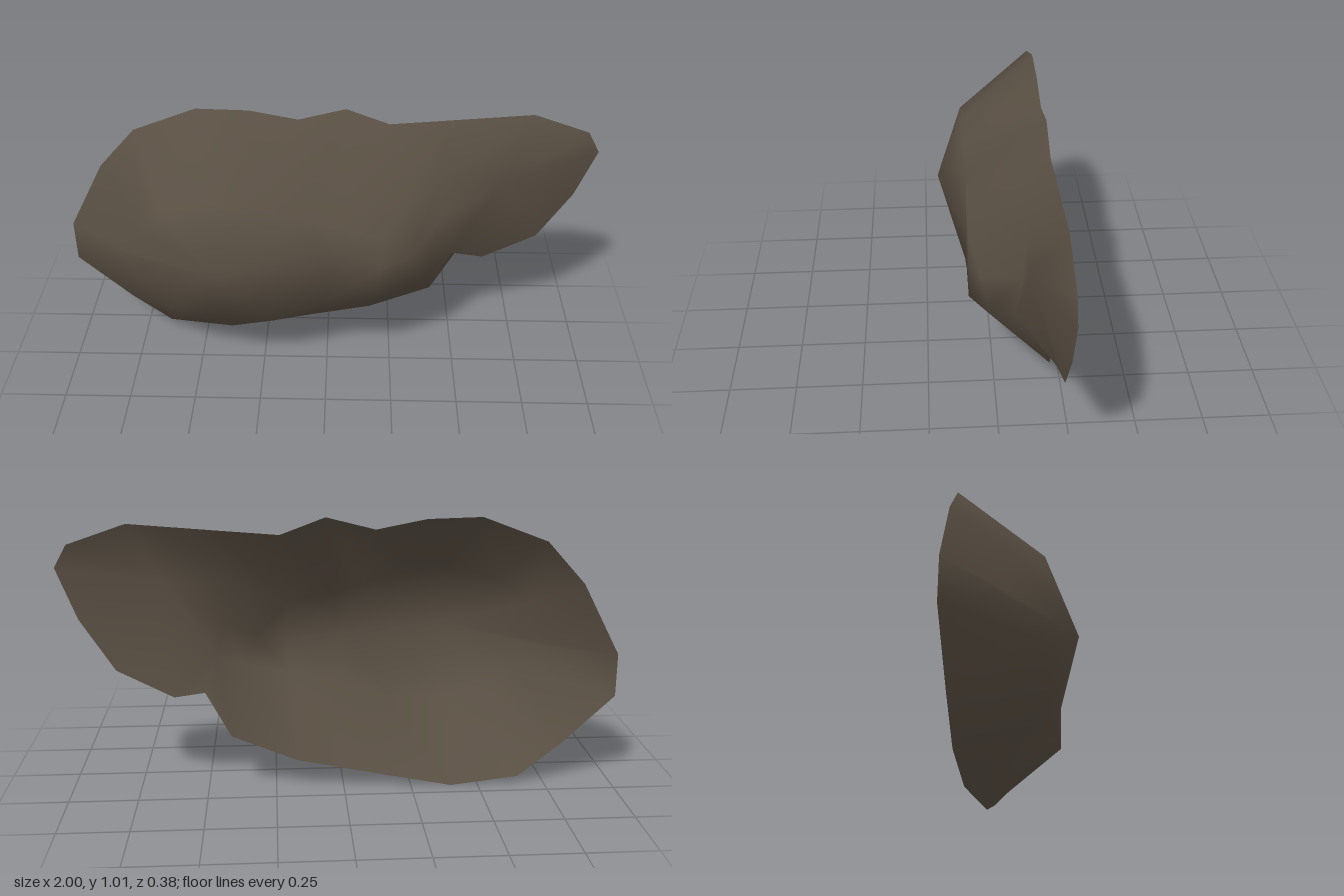
import * as THREE from 'three';
import { mergeVertices } from 'three/addons/utils/BufferGeometryUtils.js';

const BACK = -0.19;

// Spine points: main peak, middle lobe, its right-hand wall and the valley before the small lobe
const peak = [-0.4, 0.53, 0.19];
const middle = [0, 0.52, 0.09];
const ledge = [0.2, 0.5, 0.09];
const wall = [0.31, 0.53, 0.05];
const valley = [0.42, 0.6, -0.085];

// Shoulder points of the small lobe and the middle lobe
const crest = [0.645, 0.775, -0.085];
const notch = [0.465, 0.48, -0.06];
const brow = [0.2, 0.64, 0.09];

// Sections clockwise round the rock: back rim (x, y), shoulder, spine
const sections = [
  [[-1, 0.5], [-0.78, 0.5, -0.02], peak],
  [[-0.86, 0.765], [-0.7, 0.64, 0.03], peak],
  [[-0.72, 0.92], [-0.6, 0.73, 0.09], peak],
  [[-0.485, 1.01], [-0.42, 0.78, 0.09], peak],
  [[-0.29, 1.005], [-0.25, 0.76, 0.09], peak],
  [[-0.11, 0.97], [-0.1, 0.71, 0.085], middle],
  [[0.065, 1.015], [0.03, 0.68, 0.09], middle],
  [[0.225, 0.955], brow, ledge],
  [[0.225, 0.955], brow, wall],
  [[0.45, 0.974], [0.42, 0.78, -0.1], valley],
  [[0.75, 1], crest, valley],
  [[0.955, 0.93], crest, valley],
  [[1, 0.85], crest, valley],
  [[0.93, 0.665], crest, valley],
  [[0.81, 0.475], crest, valley],
  [[0.61, 0.37], notch, valley],
  [[0.5, 0.385], notch, valley],
  [[0.41, 0.215], [0.366, 0.42, 0.03], wall],
  [[0.17, 0.115], [0.19, 0.36, 0.09], ledge],
  [[-0.1, 0.06], [0, 0.35, 0.09], middle],
  [[-0.1, 0.06], [-0.2, 0.255, 0.09], peak],
  [[-0.4, 0], [-0.4, 0.255, 0.09], peak],
  [[-0.65, 0.03], [-0.59, 0.31, 0.09], peak],
  [[-0.8, 0.15], [-0.68, 0.39, 0.04], peak],
  [[-1, 0.34], [-0.78, 0.48, -0.02], peak],
];

// Joins matching closed loops into one smooth shell
function loftLoops(loops) {
  const n = loops[0].length;
  const index = [];
  for (let k = 0; k < loops.length - 1; k++) {
    for (let i = 0; i < n; i++) {
      const j = (i + 1) % n;
      const a = k * n + i, b = k * n + j, c = a + n, d = b + n;
      index.push(a, c, b, b, c, d);
    }
  }
  const geometry = new THREE.BufferGeometry();
  geometry.setAttribute('position', new THREE.Float32BufferAttribute(loops.flat(2), 3));
  geometry.setIndex(index);
  const merged = mergeVertices(geometry);
  // Drop triangles that collapsed where loop points coincide
  const kept = [];
  const ids = merged.index.array;
  for (let t = 0; t < ids.length; t += 3) {
    const [a, b, c] = [ids[t], ids[t + 1], ids[t + 2]];
    if (a !== b && b !== c && c !== a) kept.push(a, b, c);
  }
  merged.setIndex(kept);
  merged.computeVertexNormals();
  return merged;
}

export function createModel() {
  const group = new THREE.Group();
  group.name = 'rock';
  const stone = new THREE.MeshStandardMaterial({ color: 0x594f43, side: THREE.DoubleSide });
  stone.name = 'brown stone';
  const loops = [
    sections.map(([[x, y]]) => [x, y, BACK]),
    sections.map((section) => section[1]),
    sections.map((section) => section[2]),
  ];
  const shell = new THREE.Mesh(loftLoops(loops), stone);
  shell.name = 'rockShell';
  group.add(shell);
  return group;
}
